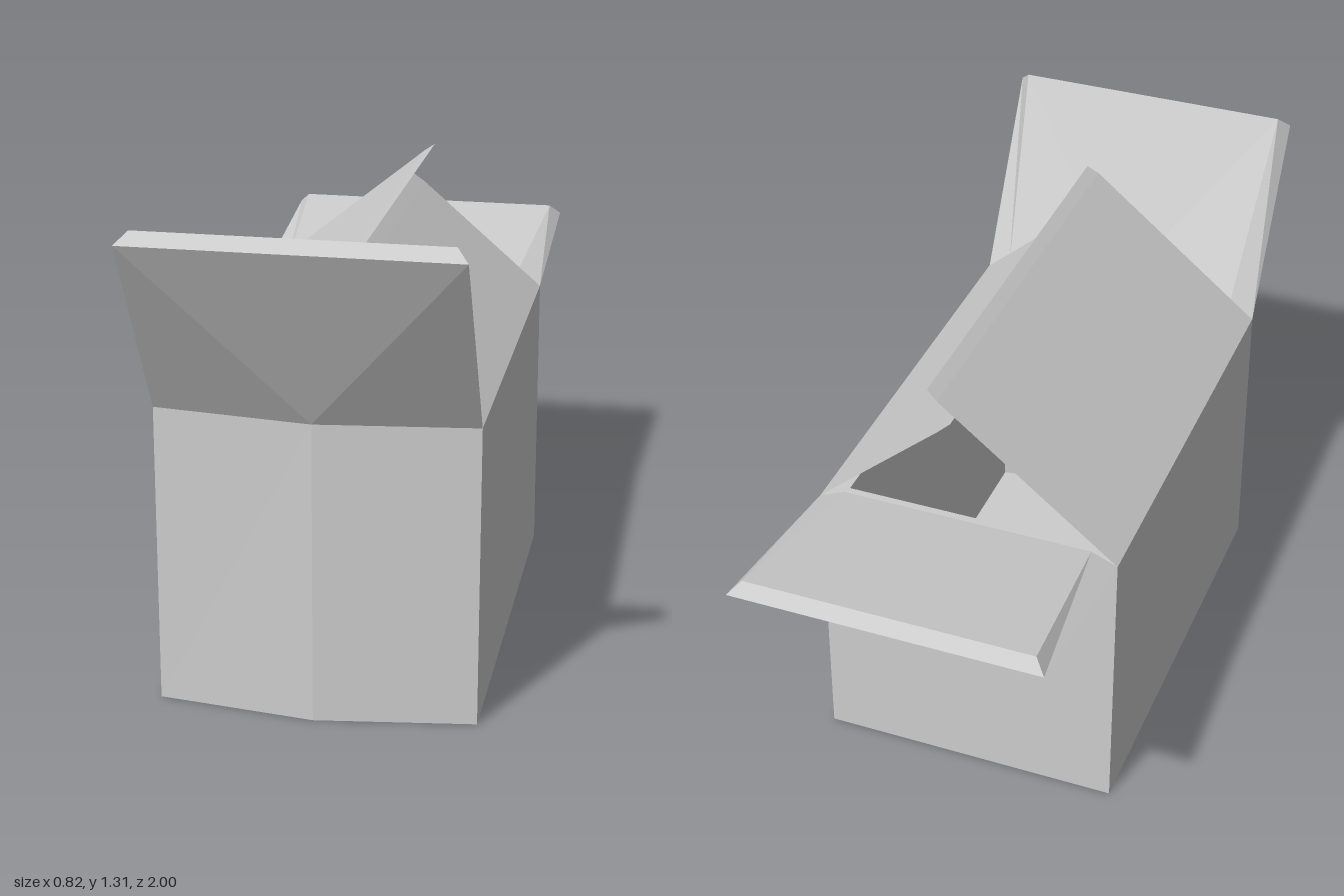
import * as THREE from 'three';

const cardboard = new THREE.MeshStandardMaterial({ color: 0xcccccc });
cardboard.name = 'plainCardboard';

// Skins matching rings of points and caps both ends; each face is flat.
function loft(name, rings) {
  const pos = [];
  const tri = (a, b, c) => pos.push(...a, ...b, ...c);
  for (let r = 0; r < rings.length - 1; r++) {
    const a = rings[r], b = rings[r + 1];
    for (let i = 0; i < a.length; i++) {
      const j = (i + 1) % a.length;
      tri(a[i], a[j], b[j]);
      tri(a[i], b[j], b[i]);
    }
  }
  const first = rings[0], last = rings[rings.length - 1];
  for (let i = 1; i < first.length - 1; i++) {
    tri(first[0], first[i + 1], first[i]);
    tri(last[0], last[i], last[i + 1]);
  }
  const geometry = new THREE.BufferGeometry();
  geometry.setAttribute('position', new THREE.Float32BufferAttribute(pos, 3));
  geometry.computeVertexNormals();
  const mesh = new THREE.Mesh(geometry, cardboard);
  mesh.name = name;
  return mesh;
}

// Level outline of the box, with its front bulging to a ridge in the middle.
const outline = (y, halfX, ridgeZ, frontZ, backZ) => [
  [0, y, ridgeZ], [halfX, y, frontZ], [halfX, y, backZ], [-halfX, y, backZ], [-halfX, y, frontZ],
];

// Outline of the front flap: bent at the hinge, straight at the tip.
const frontRing = (hx, hy, hz, ridgeZ, tx, ty, tz) => [
  [0, hy, ridgeZ], [-hx, hy, hz], [-tx, ty, tz], [0, ty, tz], [tx, ty, tz], [hx, hy, hz],
];

const backRing = (hx, hy, hz, tx, ty, tz) => [
  [-hx, hy, hz], [hx, hy, hz], [tx, ty, tz], [-tx, ty, tz],
];

// Outline of a folded-in side flap; hinge and tip are [x, y, inset in z].
function sideRing(side, [hx, hy, hi], [tx, ty, ti]) {
  const front = 0.718, back = -0.475;
  const ring = [
    [hx, hy, front - hi], [hx, hy, back + hi], [tx, ty, back + ti], [tx, ty, front - ti],
  ];
  return side < 0 ? ring : ring.reverse();
}

export function createModel() {
  const group = new THREE.Group();
  group.name = 'openBox';

  // Hollow body: outer walls, rim, inner walls and floor
  group.add(loft('boxBody', [
    outline(0, 0.41, 0.785, 0.73, -0.49),
    outline(0.79, 0.41, 0.77, 0.72, -0.475),
    outline(0.79, 0.35, 0.72, 0.67, -0.42),
    outline(0.05, 0.35, 0.73, 0.68, -0.43),
  ]));

  // Raised front flap and lowered back flap, bevelled towards the inside
  group.add(loft('frontFlap', [
    frontRing(0.41, 0.79, 0.72, 0.77, 0.41, 1.28, 1.0),
    frontRing(0.34, 0.82, 0.705, 0.72, 0.38, 1.31, 0.97),
  ]));
  group.add(loft('backFlap', [
    backRing(0.41, 0.79, -0.475, 0.41, 0.87, -1.0),
    backRing(0.34, 0.82, -0.475, 0.38, 0.9, -0.97),
  ]));

  // Half-closed side flaps meeting like a roof
  group.add(loft('rightFlap', [
    sideRing(-1, [-0.41, 0.79, 0], [0.07, 1.178, 0]),
    sideRing(-1, [-0.35, 0.82, 0.06], [0.1, 1.2, 0.01]),
  ]));
  group.add(loft('leftFlap', [
    sideRing(1, [0.41, 0.79, 0], [0.07, 1.085, 0]),
    sideRing(1, [0.35, 0.82, 0.06], [0.04, 1.11, 0.01]),
  ]));

  return group;
}
